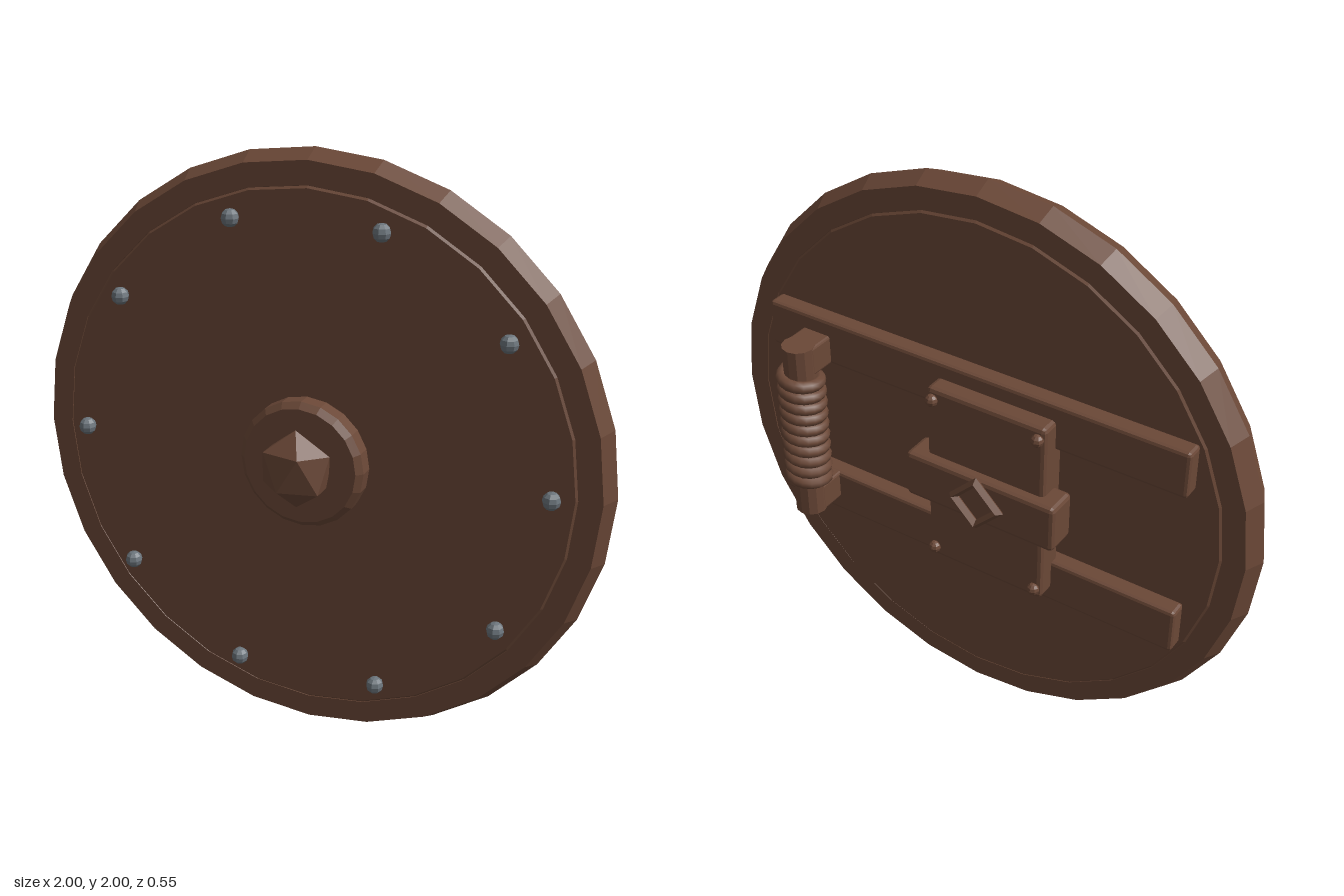
import * as THREE from 'three';
import { RoundedBoxGeometry } from 'three/addons/geometries/RoundedBoxGeometry.js';
import { ConvexGeometry } from 'three/addons/geometries/ConvexGeometry.js';

const CY = 1; // height of the shield centre

// faceted normals
function flat(geo) {
  const g = geo.index ? geo.toNonIndexed() : geo;
  g.computeVertexNormals();
  return g;
}

// profile of [radius, z] revolved around the z axis
function turned(profile, sides) {
  const pts = profile.map(([r, z]) => new THREE.Vector2(r, z));
  return flat(new THREE.LatheGeometry(pts, sides).rotateX(Math.PI / 2));
}

export function createModel() {
  const group = new THREE.Group();
  const wood = new THREE.MeshStandardMaterial({ color: 0x6b4837 });
  wood.name = 'brown';
  const steel = new THREE.MeshStandardMaterial({ color: 0x6b747b });
  steel.name = 'grey';

  function add(name, geo, x, y, z, mat = wood) {
    const mesh = new THREE.Mesh(geo, mat);
    mesh.name = name;
    mesh.position.set(x, y, z);
    group.add(mesh);
    return mesh;
  }
  // chamfered block given by its limits
  function block(name, x0, x1, y0, y1, z0, z1, bevel = 0.012) {
    const geo = flat(new RoundedBoxGeometry(x1 - x0, y1 - y0, z1 - z0, 1, bevel));
    return add(name, geo, (x0 + x1) / 2, (y0 + y1) / 2, (z0 + z1) / 2);
  }

  // round board and its six-sided rim
  add('board', turned([[0, -0.07], [0.885, -0.07], [0.897, -0.058],
    [0.897, 0.058], [0.885, 0.07], [0, 0.07]], 28), 0, CY, 0.035);
  add('rim', turned([[0.86, 0], [0.893, -0.065], [0.97, -0.065], [1, 0],
    [0.97, 0.065], [0.893, 0.065], [0.86, 0]], 28), 0, CY, 0.035);

  // centre boss
  add('boss', turned([[0.215, 0.09], [0.215, 0.155], [0.195, 0.175], [0, 0.175]], 20), 0, CY, 0);

  // faceted stud: pole points plus two staggered rings, flattened in z
  const stud = [new THREE.Vector3(0, 0.133, 0), new THREE.Vector3(0, -0.133, 0)];
  for (let i = 0; i < 10; i++) {
    const a = (18 + i * 36) * Math.PI / 180;
    stud.push(new THREE.Vector3(0.117 * Math.sin(a), i % 2 ? -0.06 : 0.06, 0.078 * Math.cos(a)));
  }
  add('bossStud', new ConvexGeometry(stud), 0, CY, 0.2);

  // ring of rivets on the front
  const rivetGeo = flat(new THREE.SphereGeometry(0.03, 8, 6));
  for (let i = 0; i < 10; i++) {
    const a = i * Math.PI / 5;
    add('rivet', rivetGeo, 0.816 * Math.cos(a), CY + 0.776 / 0.951 * Math.sin(a), 0.125, steel);
  }

  // cross straps on the back
  block('upperStrap', -0.785, 0.785, 1.232, 1.397, -0.097, -0.03);
  block('lowerStrap', -0.785, 0.785, 0.61, 0.775, -0.097, -0.03);

  // arm plate with band, pins and diamond frame
  const px = -0.115;
  block('armPlate', px - 0.22, px + 0.22, 0.66, 1.34, -0.16, -0.055, 0.015);
  block('armBand', px - 0.28, px + 0.28, 0.915, 1.085, -0.2, -0.085, 0.015);
  const pinGeo = flat(new THREE.SphereGeometry(0.022, 8, 6));
  for (const sx of [-1, 1]) for (const sy of [-1, 1])
    add('platePin', pinGeo, px + sx * 0.195, CY + sy * 0.3, -0.165);
  add('diamondFrame', flat(new THREE.TorusGeometry(0.085, 0.018, 4, 4)), px, CY, -0.208);

  // hand grip: core, two mounts and a wound cord
  const hx = 0.592, hz = -0.192;
  add('gripCore', flat(new THREE.CylinderGeometry(0.056, 0.056, 0.67, 12)), hx, 1.005, hz);
  block('upperMount', hx - 0.055, hx + 0.055, 1.235, 1.34, hz, -0.08, 0.008);
  block('lowerMount', hx - 0.055, hx + 0.055, 0.67, 0.775, hz, -0.08, 0.008);
  const turns = 10, steps = turns * 16, path = [];
  for (let i = 0; i <= steps; i++) {
    const a = i / 16 * Math.PI * 2;
    path.push(new THREE.Vector3(0.062 * Math.cos(a), -0.22 + 0.44 * i / steps, 0.062 * Math.sin(a)));
  }
  const cord = new THREE.TubeGeometry(new THREE.CatmullRomCurve3(path), steps, 0.022, 8);
  add('gripCord', cord, hx, 1.008, hz);
  for (const p of [path[0], path[steps]])
    add('cordEnd', new THREE.SphereGeometry(0.022, 8, 6), hx + p.x, 1.008 + p.y, hz + p.z);

  return group;
}
